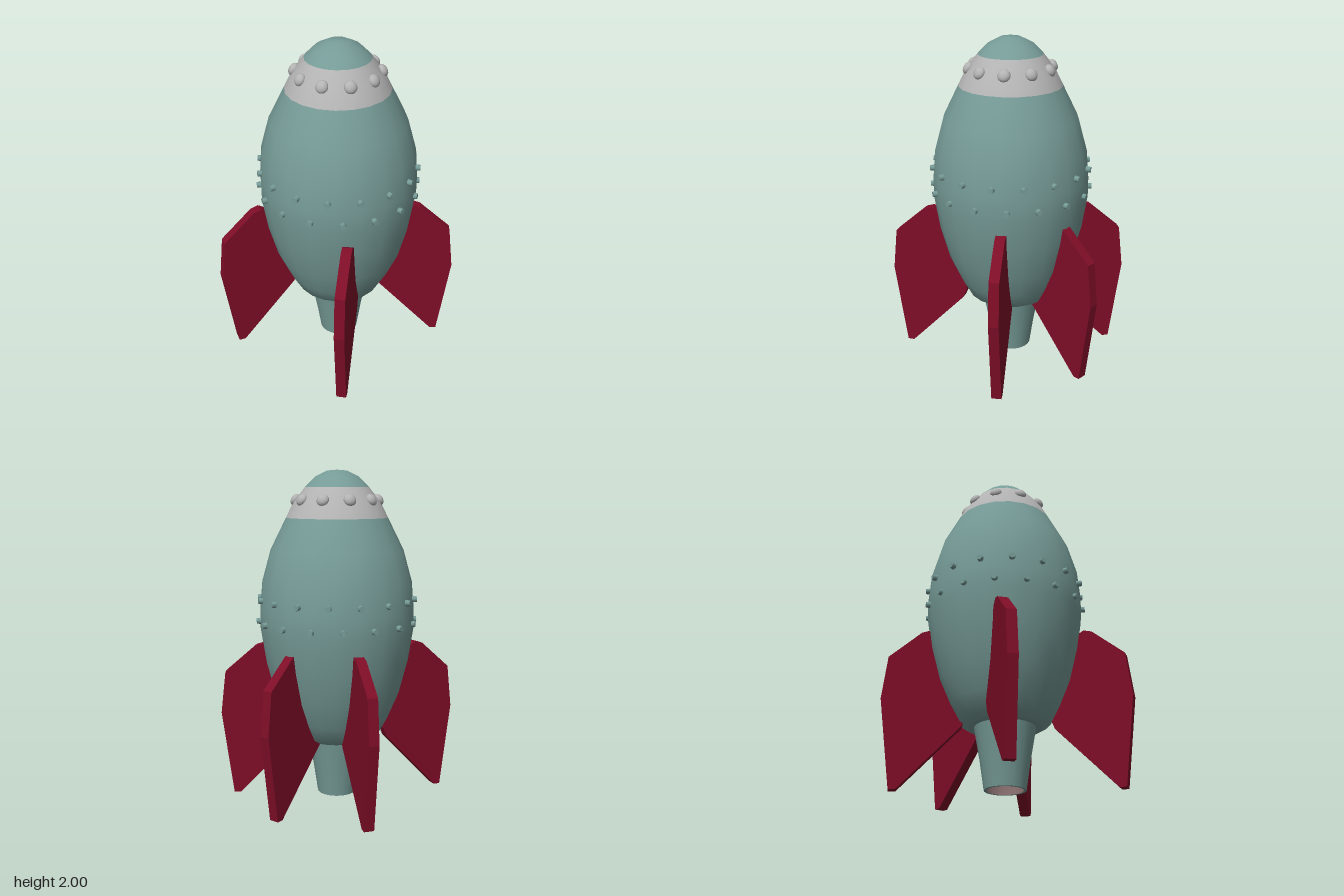
import * as THREE from 'three';

const AXIS_Z = 0.035; // the hull axis sits slightly forward of the origin
const SIDES = 20;

const mat = (name, color, side = THREE.FrontSide) =>
  Object.assign(new THREE.MeshStandardMaterial({ color, side }), { name });

export function createModel() {
  const hullGreen = mat('hullGreen', 0x769b97);
  const bandGrey = mat('bandGrey', 0xb4b4b4);
  const finRed = mat('finRed', 0x7e0d27);
  const nozzleInside = mat('nozzleInside', 0x8a7070);

  const rocket = new THREE.Group();
  rocket.name = 'rocket';
  const hull = new THREE.Group();
  hull.name = 'hull';
  hull.position.z = AXIS_Z;
  rocket.add(hull);

  const add = (parent, name, geometry, material) => {
    const mesh = new THREE.Mesh(geometry, material);
    mesh.name = name;
    parent.add(mesh);
    return mesh;
  };
  // turned part from [radius, height] pairs
  const turned = (name, profile, material) =>
    add(hull, name, new THREE.LatheGeometry(
      profile.map(([r, y]) => new THREE.Vector2(r, y)), SIDES), material);

  // egg-shaped body, band and nose
  turned('body', [[0.215, 0.37], [0.265, 0.4], [0.32, 0.5], [0.385, 0.65], [0.437, 0.85],
    [0.468, 1.05], [0.468, 1.17], [0.453, 1.34], [0.4, 1.53], [0.305, 1.72]], hullGreen);
  turned('bodyBase', [[0, 0.37], [0.215, 0.37]], hullGreen);
  turned('noseBand', [[0.305, 1.72], [0.26, 1.81], [0.19, 1.9]], bandGrey);
  turned('noseCap', [[0.19, 1.9], [0.13, 1.96], [0.06, 1.995], [0, 2]], hullGreen);

  // open exhaust nozzle
  turned('nozzle', [[0.12, 0.01], [0.145, 0.18], [0.18, 0.375]], hullGreen);
  turned('nozzleLip', [[0.105, 0.01], [0.12, 0.01]], hullGreen);
  turned('nozzleInterior', [[0, 0.35], [0.15, 0.35], [0.105, 0.01]], nozzleInside);

  // ring of studs pointing outward; angle 0 faces the front
  const ring = (name, geometry, material, count, start, radius, y, tilt) => {
    const group = new THREE.Group();
    group.name = name;
    hull.add(group);
    for (let i = 0; i < count; i++) {
      const a = THREE.MathUtils.degToRad(start + (360 / count) * i);
      const stud = add(group, 'stud', geometry, material);
      stud.position.set(Math.sin(a) * radius, y, Math.cos(a) * radius);
      stud.rotation.set(-tilt, a, 0, 'YXZ');
    }
  };
  const rivet = new THREE.CylinderGeometry(0.017, 0.02, 0.04, 8).rotateX(Math.PI / 2);
  ring('upperRivets', rivet, hullGreen, 16, 8.6, 0.465, 1.235, 0);
  ring('lowerRivets', rivet, hullGreen, 16, -3.6, 0.468, 1.1, 0);
  const bump = new THREE.SphereGeometry(0.037, 12, 8).scale(1, 1, 0.7);
  ring('bandBumps', bump, bandGrey, 10, 18, 0.248, 1.825, 0.55);

  // fin outline: x runs outward and is 0 at the outermost edge
  const outline = new THREE.Shape([[-0.4, 0.88], [-0.27, 0.96], [-0.22, 0.945], [-0.03, 0.78],
    [0, 0.52], [-0.07, 0], [-0.11, 0], [-0.465, 0.37], [-0.49, 0.43]]
    .map(([x, y]) => new THREE.Vector2(x, y)));
  const finGeometry = new THREE.ExtrudeGeometry(outline, { depth: 0.06, bevelEnabled: false })
    .translate(0, 0, -0.03);
  const addFin = (name, x, z, dx, dz) => {
    const fin = add(rocket, name, finGeometry, finRed);
    fin.position.set(x, 0, z);
    fin.rotation.y = Math.atan2(-dz, dx);
  };
  addFin('backFin', 0, -0.638, 0, -1);
  for (const [side, s] of [['left', 1], ['right', -1]]) {
    addFin(side + 'BackFin', s * 0.575, -0.392, s * 0.815, -0.58);
    addFin(side + 'FrontFin', s * 0.463, 0.617, s * 0.47, 0.88);
  }
  return rocket;
}
